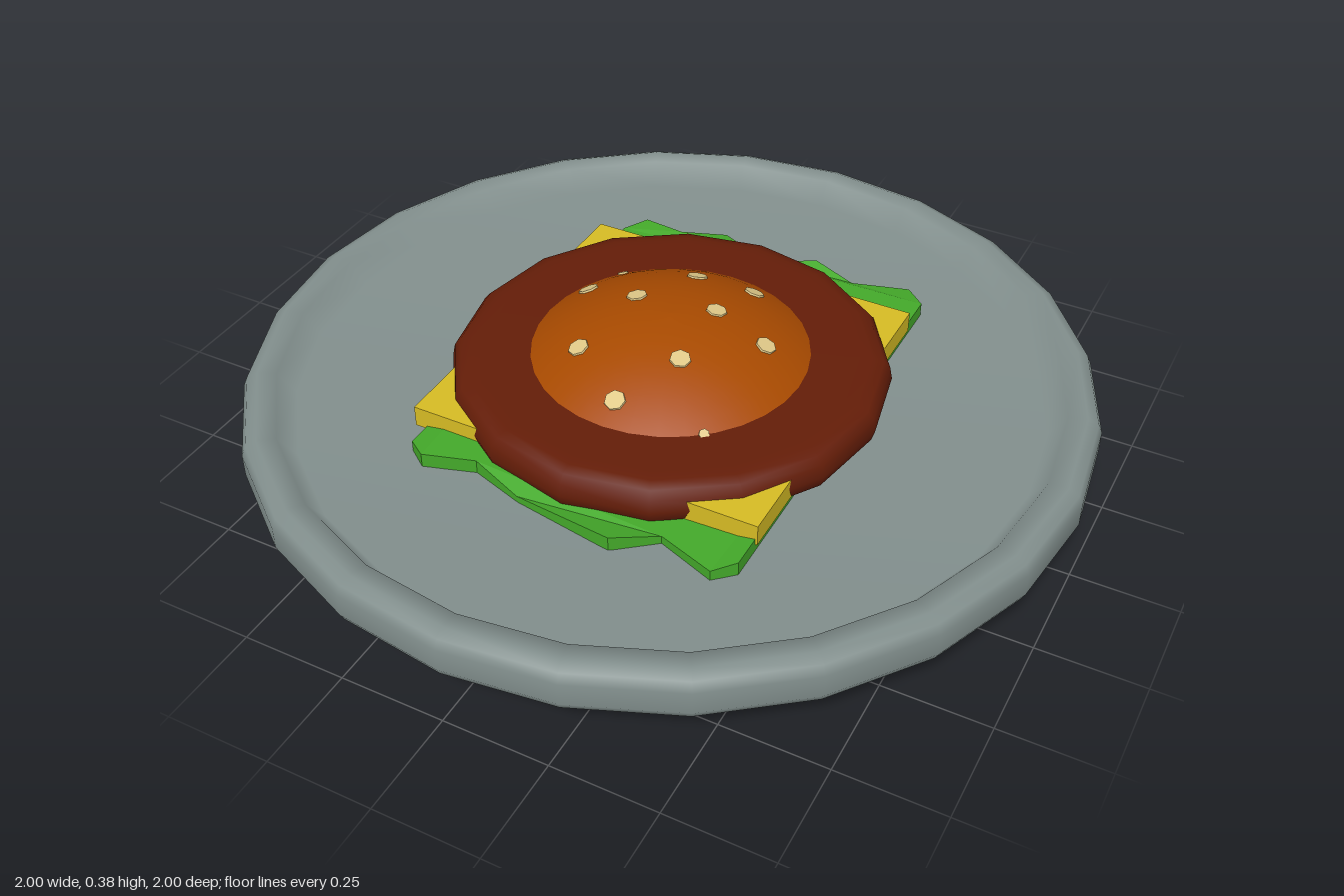
import * as THREE from 'three';

const mat = (name, color) => {
  const m = new THREE.MeshStandardMaterial({ color });
  m.name = name;
  return m;
};

export function createModel() {
  const model = new THREE.Group();
  model.name = 'burgerOnPlate';
  const grey = mat('plateGrey', 0x828f8d);
  const dark = mat('plateBaseDark', 0x353c3d);
  const crust = mat('bunOrange', 0xd66107);
  const topCrust = mat('topBunBrown', 0xa84a00);
  const meat = mat('pattyBrown', 0x641d08);
  const yellow = mat('cheeseYellow', 0xd6bb24);
  const green = mat('lettuceGreen', 0x44a92a);
  const cream = mat('seedCream', 0xe0c988);

  const add = (name, geometry, material, y = 0) => {
    const mesh = new THREE.Mesh(geometry, material);
    mesh.name = name;
    mesh.position.y = y;
    model.add(mesh);
    return mesh;
  };
  const lathe = (points, sides) =>
    new THREE.LatheGeometry(points.map(([r, y]) => new THREE.Vector2(r, y)), sides);

  // Plate with a rounded rim and a sunken floor, dark underneath
  add('plate', lathe([
    [0.93, 0.11], [0.96, 0.112], [0.99, 0.13], [1, 0.15], [1, 0.205],
    [0.99, 0.228], [0.965, 0.24], [0.92, 0.236], [0.88, 0.18], [0, 0.18],
  ], 24), grey);
  add('plateUnderside', lathe([[0, 0.11], [0.93, 0.11]], 24), dark);

  // Bottom bun with a browned base
  add('bottomBun', lathe([
    [0.455, 0], [0.468, 0.003], [0.483, 0.018], [0.49, 0.04],
    [0.49, 0.075], [0.47, 0.1], [0, 0.1],
  ], 32), crust);
  add('bottomBunBase', lathe([[0, 0], [0.455, 0]], 32), topCrust);

  // Two patties with rounded edges
  const pattyGeo = lathe([
    [0, 0], [0.46, 0], [0.49, 0.005], [0.51, 0.022], [0.518, 0.05],
    [0.512, 0.08], [0.497, 0.098], [0.47, 0.104], [0.44, 0.105], [0, 0.105],
  ], 16);
  add('lowerPatty', pattyGeo, meat, 0.072);
  add('upperPatty', pattyGeo, meat, 0.178);

  // Square cheese slices
  const cheeseGeo = new THREE.BoxGeometry(0.86, 0.052, 0.86);
  add('lowerCheese', cheeseGeo, yellow, 0.122);
  add('upperCheese', cheeseGeo, yellow, 0.225);

  // Lettuce leaves with ragged ends, gently waved
  const outline = [
    [-0.4, -0.5], [-0.36, -0.555], [-0.25, -0.54], [-0.15, -0.605], [0, -0.53],
    [0.12, -0.578], [0.23, -0.55], [0.37, -0.588], [0.425, -0.53],
    [0.425, 0.51], [0.38, 0.552], [0.24, 0.5], [0.15, 0.572], [-0.1, 0.53],
    [-0.23, 0.488], [-0.35, 0.527], [-0.4, 0.49],
  ];
  const leafGeo = new THREE.ExtrudeGeometry(
    new THREE.Shape(outline.map(([x, z]) => new THREE.Vector2(x, z))),
    { depth: 0.035, bevelEnabled: false });
  leafGeo.rotateX(Math.PI / 2);
  const p = leafGeo.attributes.position;
  for (let i = 0; i < p.count; i++) {
    p.setY(i, p.getY(i) + 0.012 * Math.sin(p.getX(i) * 16));
  }
  leafGeo.computeVertexNormals();
  add('upperLettuce', leafGeo, green, 0.208);
  add('lowerLettuce', leafGeo, green, 0.14).rotation.y = Math.PI / 2;

  // Domed top bun, a cap of a large sphere
  const R = 0.592, cy = -0.21;
  const dome = [];
  for (let i = 0; i <= 10; i++) {
    const a = 0.87 * (1 - i / 10);
    dome.push([R * Math.sin(a), cy + R * Math.cos(a)]);
  }
  add('topBun', lathe(dome, 32), topCrust);

  // Sesame seeds lying on the dome, two of them sunk to slivers
  const seedGeo = new THREE.CylinderGeometry(0.0245, 0.026, 0.009, 7);
  const seeds = new THREE.Group();
  seeds.name = 'seeds';
  [[-0.245, -0.215, 0.5], [-0.04, -0.215, 1], [0.1, -0.24, 1], [-0.265, -0.08, 1],
    [-0.11, -0.04, 1], [0.083, -0.07, 1], [0.223, -0.043, 1], [-0.152, 0.163, 1],
    [0.088, 0.122, 1], [0.002, 0.27, 1], [0.212, 0.248, 0.5]].forEach(([x, z, size], i) => {
    const n = new THREE.Vector3(x, Math.sqrt(R * R - x * x - z * z), z).normalize();
    const seed = new THREE.Mesh(seedGeo, cream);
    seed.name = `seed${i + 1}`;
    seed.scale.set(size, 1, size);
    seed.position.copy(n).multiplyScalar(R - 0.001);
    seed.position.y += cy;
    seed.quaternion.setFromUnitVectors(new THREE.Vector3(0, 1, 0), n);
    seeds.add(seed);
  });
  model.add(seeds);

  return model;
}
